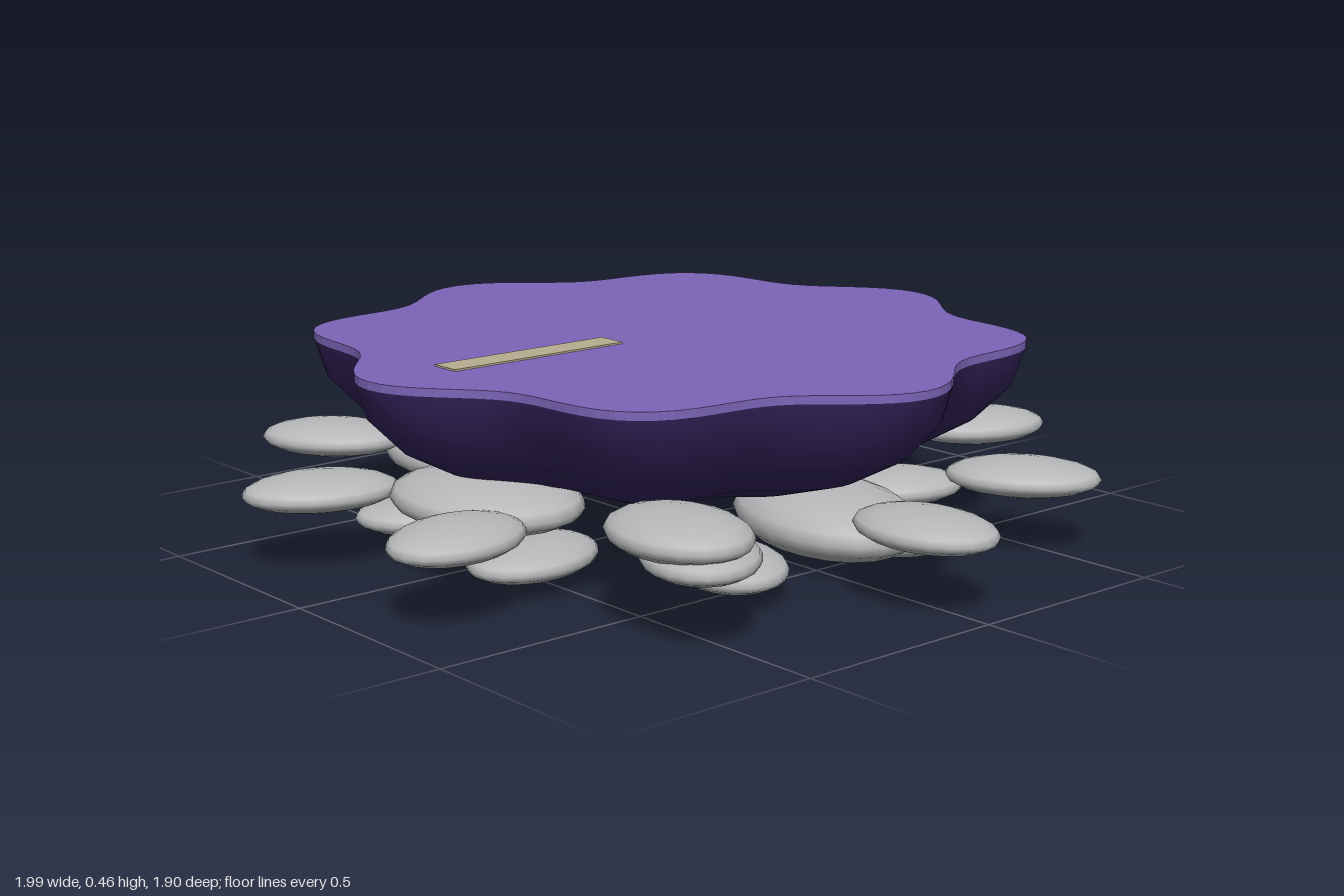
import * as THREE from 'three';
import { mergeVertices } from 'three/addons/utils/BufferGeometryUtils.js';

const material = (name, color) => new THREE.MeshStandardMaterial({ name, color });

// Eight-lobed outline shared by the top and the bowl
const waveRadius = (angle) => 0.765 + 0.052 * Math.cos(8 * angle);

export function createModel() {
  const model = new THREE.Group();
  model.name = 'lobedPlatform';
  const purple = material('purple top', 0x7d65b8);
  const darkPurple = material('dark purple bowl', 0x35255f);
  const stoneGrey = material('stone grey', 0xb6b8ba);
  const tan = material('tan strip', 0xb8ad90);

  const add = (name, geometry, mat, parent = model) => {
    const mesh = new THREE.Mesh(geometry, mat);
    mesh.name = name;
    parent.add(mesh);
    return mesh;
  };

  // Flat top slab
  const outline = [];
  for (let i = 0; i < 128; i++) {
    const a = (i / 128) * Math.PI * 2;
    outline.push(new THREE.Vector2(Math.cos(a), Math.sin(a)).multiplyScalar(waveRadius(a)));
  }
  const slab = new THREE.ExtrudeGeometry(new THREE.Shape(outline), { depth: 0.018, bevelEnabled: false });
  slab.rotateX(-Math.PI / 2);
  slab.translate(0, 0.442, 0);
  add('platformTop', slab, purple);

  // Bowl underneath: lower half of a flattened sphere, pushed out to the lobes
  let bowl = new THREE.SphereGeometry(1, 128, 6, 0, Math.PI * 2, Math.PI / 2, Math.PI / 2);
  const p = bowl.attributes.position;
  for (let i = 0; i < p.count; i++) {
    const r = waveRadius(Math.atan2(p.getZ(i), p.getX(i)));
    p.setXYZ(i, p.getX(i) * r, 0.442 + p.getY(i) * 0.327, p.getZ(i) * r);
  }
  bowl.deleteAttribute('normal');
  bowl.deleteAttribute('uv');
  bowl = mergeVertices(bowl);
  bowl.computeVertexNormals();
  add('bowl', bowl, darkPurple);

  // Strip lying on the top
  const strip = add('topStrip', new THREE.BoxGeometry(0.074, 0.008, 0.46), tan);
  strip.position.set(0, 0.46, 0.392);

  // Flattened stones
  const stones = new THREE.Group();
  stones.name = 'stones';
  model.add(stones);
  const stoneGeometry = new THREE.SphereGeometry(1, 20, 10);
  const addStone = (name, x, y, z, length, height, width, turn) => {
    const stone = add(name, stoneGeometry, stoneGrey, stones);
    stone.position.set(x, y, z);
    stone.scale.set(length, height, width);
    stone.rotation.y = turn;
  };
  const addRing = (name, count, start, radius, y) => {
    for (let i = 0; i < count; i++) {
      const a = start + (i / count) * Math.PI * 2;
      addStone(name, radius * Math.cos(a), y, radius * Math.sin(a), 0.175, 0.041, 0.125, -a);
    }
  };
  addRing('outerStone', 10, 0, 0.82, 0.17);
  addRing('lowerStone', 8, THREE.MathUtils.degToRad(27), 0.55, 0.065);

  // Larger loose stones: x, y, z, half length, half height, half width, turn
  [
    [0.395, 0.086, -0.13, 0.288, 0.078, 0.188, -0.31],
    [-0.12, 0.064, -0.56, 0.25, 0.058, 0.16, -0.17],
    [-0.48, 0.125, 0.2, 0.25, 0.066, 0.2, 0],
    [0.03, 0.168, 0.54, 0.25, 0.06, 0.19, 0],
    [0.625, 0.213, 0.505, 0.188, 0.048, 0.14, -0.2],
  ].forEach((s) => addStone('largeStone', ...s));

  return model;
}
